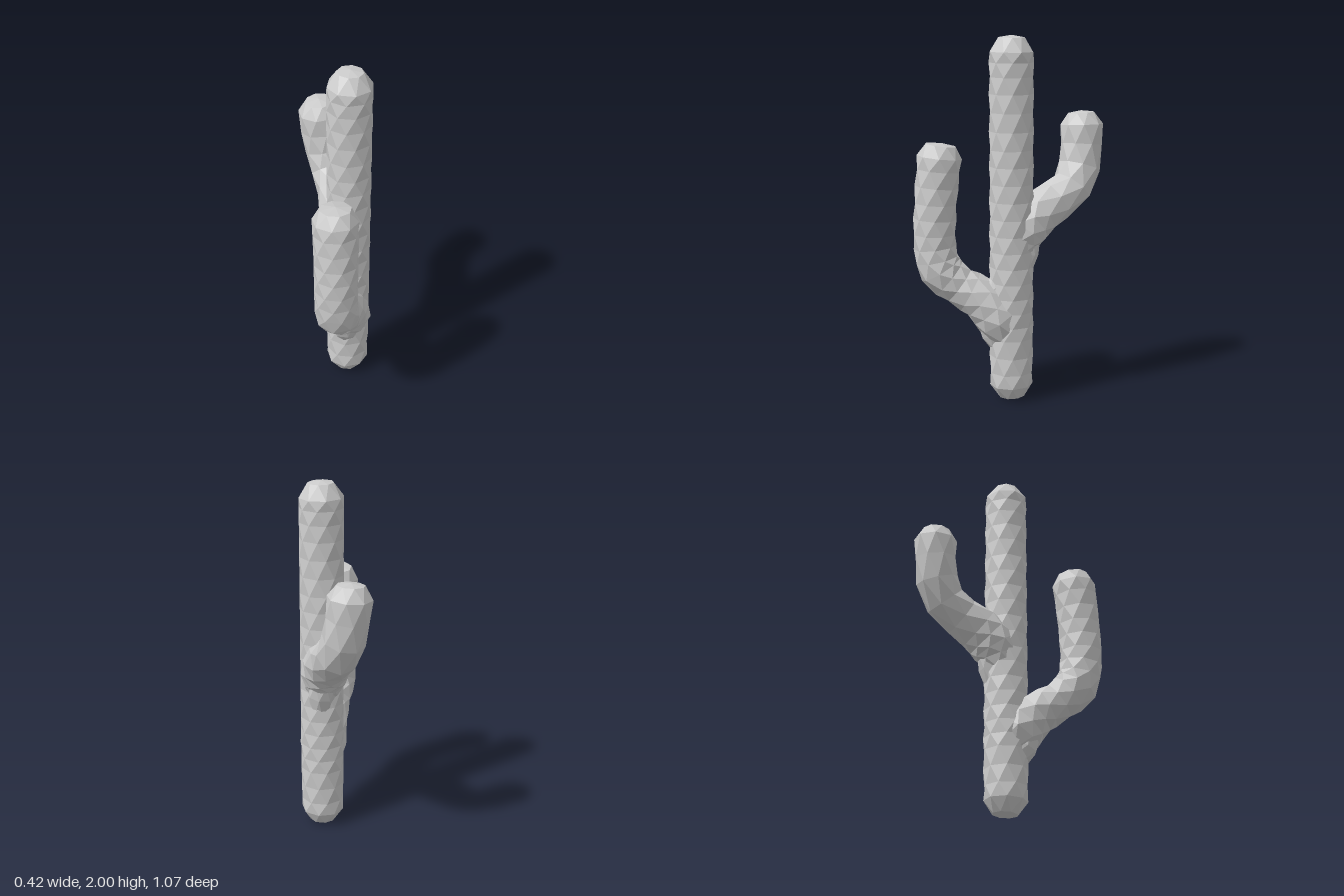
import * as THREE from 'three';

const SIDES = 8;
const material = new THREE.MeshStandardMaterial({ color: 0xcccccc, flatShading: true });

// Faceted limb swept along stations [x, y, z, radius]; each ring turns half a
// step against the last, giving the zigzag facets. Both ends are closed.
function limb(name, stations) {
  const curve = new THREE.CatmullRomCurve3(stations.map(([x, y, z]) => new THREE.Vector3(x, y, z)));
  const last = stations.length - 1;
  const params = [];
  for (let s = 0; s < last; s++) {
    const length = curve.points[s].distanceTo(curve.points[s + 1]);
    const steps = Math.max(1, Math.round(length / 0.085));
    for (let j = 0; j < steps; j++) params.push(s + j / steps);
  }
  params.push(last);

  const rings = params.map((p, k) => {
    const s = Math.min(Math.floor(p), last - 1);
    const radius = THREE.MathUtils.lerp(stations[s][3], stations[s + 1][3], p - s);
    const centre = curve.getPoint(p / last);
    const tangent = curve.getTangent(p / last);
    const n = new THREE.Vector3(1, 0, 0).addScaledVector(tangent, -tangent.x).normalize();
    const b = tangent.clone().cross(n);
    const points = [];
    for (let i = 0; i < SIDES; i++) {
      const a = (i + k / 2) * 2 * Math.PI / SIDES;
      points.push(centre.clone().addScaledVector(n, radius * Math.cos(a)).addScaledVector(b, radius * Math.sin(a)));
    }
    return { centre, tangent, points };
  });

  const triangles = [];
  const first = rings[0], end = rings[rings.length - 1];
  const bottom = first.centre.clone().addScaledVector(first.tangent, -0.01);
  const top = end.centre.clone().addScaledVector(end.tangent, 0.012);
  for (let i = 0; i < SIDES; i++) {
    const j = (i + 1) % SIDES;
    for (let k = 0; k < rings.length - 1; k++) {
      const a = rings[k].points, b = rings[k + 1].points;
      triangles.push(a[i], a[j], b[i], b[i], a[j], b[j]);
    }
    triangles.push(bottom, first.points[j], first.points[i], top, end.points[i], end.points[j]);
  }
  const geometry = new THREE.BufferGeometry().setFromPoints(triangles);
  geometry.computeVertexNormals();
  const mesh = new THREE.Mesh(geometry, material);
  mesh.name = name;
  return mesh;
}

export function createModel() {
  const cactus = new THREE.Group();
  cactus.name = 'cactus';

  cactus.add(limb('trunk', [
    [0.085, 0.01, 0.035, 0.07], [0.083, 0.08, 0.038, 0.118], [0.083, 0.35, 0.038, 0.122],
    [0.083, 0.75, 0.038, 0.122], [0.083, 1.3, 0.038, 0.121],
    [0.083, 1.91, 0.038, 0.121], [0.085, 1.985, 0.038, 0.07],
  ]));

  // Lower arm, leaning forward and to the side
  cactus.add(limb('frontArm', [
    [0.085, 0.36, 0.05, 0.1], [0.065, 0.46, 0.1, 0.135], [0.025, 0.57, 0.19, 0.122],
    [-0.03, 0.645, 0.3, 0.11], [-0.07, 0.735, 0.39, 0.122], [-0.083, 0.86, 0.417, 0.117],
    [-0.082, 1.1, 0.412, 0.118], [-0.08, 1.35, 0.388, 0.122], [-0.078, 1.415, 0.38, 0.085],
  ]));

  // Upper arm, reaching back
  cactus.add(limb('backArm', [
    [0.083, 0.83, 0.02, 0.1], [0.083, 0.95, -0.03, 0.135], [0.086, 1.04, -0.13, 0.128],
    [0.088, 1.095, -0.23, 0.116], [0.08, 1.165, -0.335, 0.115], [0.06, 1.27, -0.392, 0.117],
    [0.043, 1.39, -0.412, 0.117], [0.034, 1.5, -0.418, 0.119], [0.03, 1.565, -0.415, 0.075],
  ]));

  // Small webs of flesh where the arms leave the trunk
  cactus.add(limb('frontArmWeb', [
    [0.085, 0.27, 0.06, 0.06], [0.045, 0.38, 0.115, 0.085], [0.04, 0.5, 0.15, 0.09], [0.075, 0.68, 0.11, 0.05],
  ]));
  cactus.add(limb('backArmWeb', [
    [0.1, 0.7, 0.0, 0.06], [0.1, 0.82, -0.03, 0.08], [0.085, 1.0, -0.05, 0.085], [0.083, 1.19, -0.01, 0.06],
  ]));

  return cactus;
}
